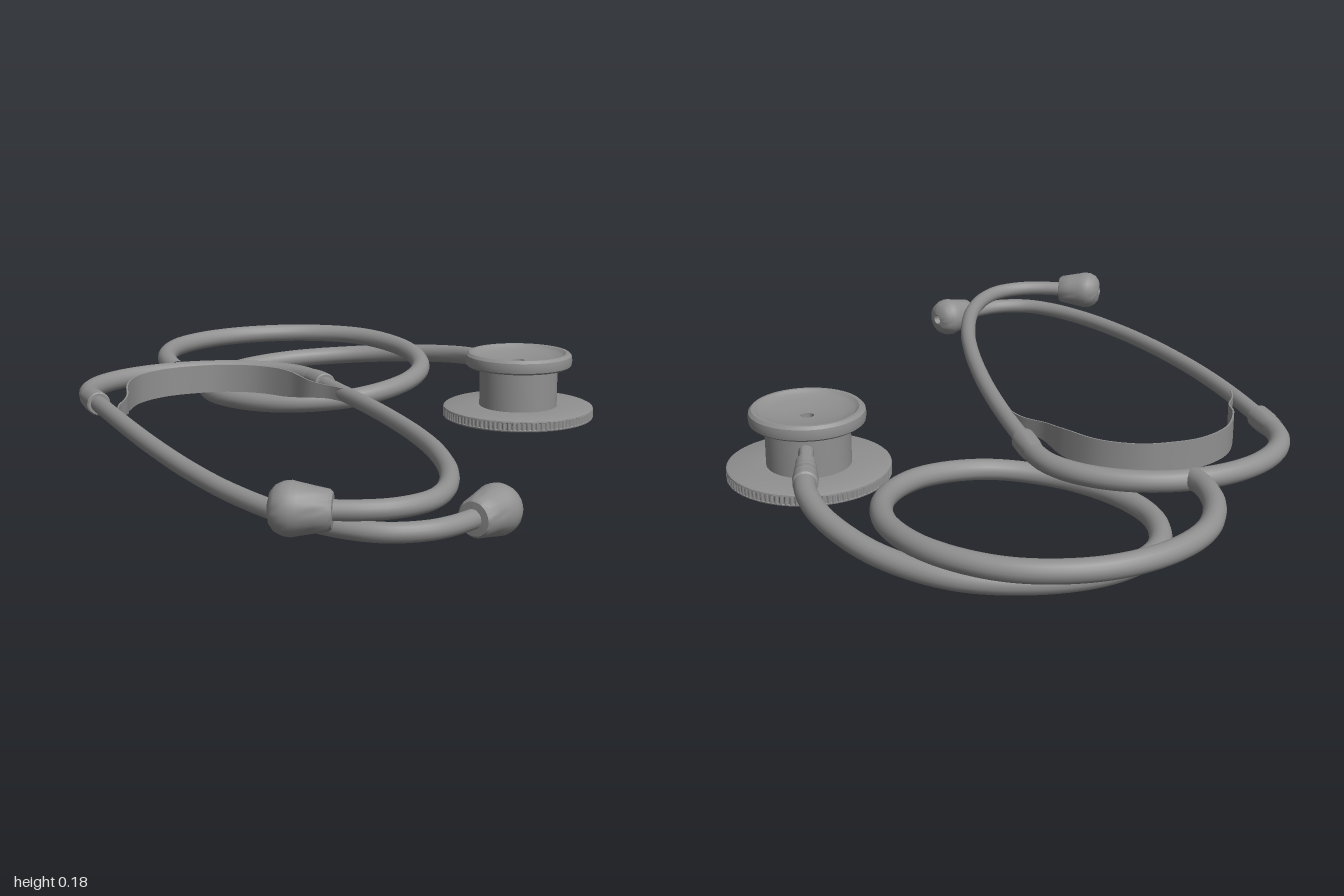
import * as THREE from 'three';
import { toCreasedNormals } from 'three/addons/utils/BufferGeometryUtils.js';

const material = new THREE.MeshStandardMaterial({ color: 0x909090 });
const V = (p) => new THREE.Vector3(...p);
const CX = -0.34; // centre line of the headset

function mesh(name, geometry) {
  const m = new THREE.Mesh(geometry, material);
  m.name = name;
  return m;
}

function tube(name, points, radius, segments) {
  const curve = new THREE.CatmullRomCurve3(points.map(V), false, 'centripetal');
  return mesh(name, new THREE.TubeGeometry(curve, segments, radius, 16));
}

function lathe(name, profile, sides = 32) {
  const g = new THREE.LatheGeometry(profile.map(([r, y]) => new THREE.Vector2(r, y)), sides);
  return mesh(name, toCreasedNormals(g, 0.6));
}

// Place a lathe so that its +y axis runs from one point towards another
function aim(m, from, to) {
  m.position.copy(V(from));
  m.quaternion.setFromUnitVectors(new THREE.Vector3(0, 1, 0), V(to).sub(V(from)).normalize());
  return m;
}

function createChestpiece() {
  const g = new THREE.Group();
  g.name = 'chestpiece';

  // Diaphragm disc with a finely ribbed band around its edge
  const shape = new THREE.Shape();
  const teeth = 100;
  for (let i = 0; i < teeth * 4; i++) {
    const a = (i / (teeth * 4)) * Math.PI * 2;
    const r = i % 4 < 2 ? 0.203 : 0.2;
    if (i === 0) shape.moveTo(r, 0);
    else shape.lineTo(r * Math.cos(a), r * Math.sin(a));
  }
  const band = new THREE.ExtrudeGeometry(shape, { depth: 0.022, bevelEnabled: false });
  band.rotateX(-Math.PI / 2).translate(0, 0.005, 0);
  g.add(mesh('diaphragmBand', band));
  g.add(lathe('diaphragm', [
    [0, 0], [0.196, 0], [0.202, 0.003], [0.203, 0.006], [0.199, 0.008],
    [0.199, 0.024], [0.203, 0.026], [0.202, 0.03], [0.196, 0.033], [0.1, 0.033],
  ], 80));

  // Drum between the two heads
  g.add(lathe('drum', [[0.105, 0.03], [0.105, 0.145]], 48));

  // Bell with a rounded rim, shallow dish and central sound hole
  g.add(lathe('bell', [
    [0.1, 0.14], [0.136, 0.14], [0.142, 0.145], [0.144, 0.158], [0.142, 0.171], [0.135, 0.178],
    [0.127, 0.178], [0.122, 0.174], [0.115, 0.169], [0.09, 0.164],
    [0.06, 0.159], [0.02, 0.155], [0.016, 0.155], [0.016, 0.142], [0, 0.142],
  ], 64));
  g.position.set(0.47, 0, -0.075);
  return g;
}

function createEarTip(name, base, end) {
  return aim(lathe(name, [
    [0.018, 0], [0.036, 0.001], [0.041, 0.007], [0.046, 0.035], [0.052, 0.066], [0.055, 0.08],
    [0.053, 0.096], [0.045, 0.112], [0.032, 0.122], [0.014, 0.126], [0.012, 0.108], [0, 0.108],
  ], 28), base, end);
}

export function createModel() {
  const model = new THREE.Group();
  model.name = 'stethoscope';

  // Long hose: upper loop, then lower loop, then up to the chestpiece
  model.add(tube('hose', [
    [-0.34, 0.103, -0.565], [-0.34, 0.108, -0.64], [-0.315, 0.112, -0.75], [-0.245, 0.114, -0.865],
    [-0.125, 0.115, -0.945], [0.03, 0.115, -0.974], [0.2, 0.115, -0.93], [0.331, 0.113, -0.805],
    [0.387, 0.1, -0.62], [0.35, 0.082, -0.44], [0.235, 0.066, -0.313], [0.068, 0.048, -0.268],
    [-0.095, 0.034, -0.332], [-0.2, 0.028, -0.46], [-0.234, 0.027, -0.6], [-0.185, 0.03, -0.75],
    [-0.06, 0.038, -0.845], [0.105, 0.047, -0.874], [0.283, 0.056, -0.83], [0.42, 0.071, -0.715],
    [0.504, 0.088, -0.555], [0.527, 0.098, -0.43], [0.522, 0.1, -0.345],
  ], 0.026, 220));

  // Ribbed connector and metal stem into the drum
  model.add(aim(lathe('connector', [
    [0.026, 0], [0.03, 0.003], [0.03, 0.03], [0.028, 0.033], [0.029, 0.036], [0.028, 0.06],
    [0.026, 0.063], [0.027, 0.066], [0.026, 0.09], [0.024, 0.093], [0.025, 0.096], [0.024, 0.125],
    [0.019, 0.13], [0.019, 0.21],
  ], 24), [0.522, 0.1, -0.365], [0.488, 0.1, -0.16]));
  model.add(createChestpiece());

  // Arched yoke joining the two ear tubes
  const arch = [[-0.308, 0.1, -0.24], [-0.308, 0.1, -0.31]];
  for (let i = 1; i < 10; i++) {
    const a = Math.PI * (1 - i / 10);
    arch.push([0.308 * Math.cos(a), 0.1, -0.31 - 0.255 * Math.sin(a)]);
  }
  arch.push([0.308, 0.1, -0.31], [0.308, 0.1, -0.24]);
  model.add(tube('yoke', arch.map(([x, y, z]) => [CX + x, y, z]), 0.026, 80));

  // Mirrored ear tubes cross at the front, one above the other
  for (const [side, label, low] of [[-1, 'right', 0.06], [1, 'left', 0.113]]) {
    const path = [
      [0.308, -0.28], [0.308, -0.1], [0.304, 0.06], [0.294, 0.22], [0.271, 0.42], [0.236, 0.6],
      [0.177, 0.78], [0.108, 0.9], [0.045, 0.957], [-0.03, 0.976], [-0.09, 0.967], [-0.17, 0.932],
    ].map(([x, z]) => {
      const t = THREE.MathUtils.smoothstep(z, -0.2, 0.95);
      return [CX + side * x, 0.1 + (low - 0.1) * t, z];
    });
    model.add(tube(label + 'EarTube', path, 0.021, 100));
    model.add(createEarTip(label + 'EarTip',
      [CX - side * 0.15, low, 0.943], [CX - side * 0.26, low + 0.003, 0.885]));
    model.add(aim(lathe(label + 'YokeSleeve', [[0.0262, 0], [0.03, 0.05], [0.03, 0.093], [0.027, 0.096], [0.02, 0.096]], 24),
      [CX + side * 0.308, 0.1, -0.325], [CX + side * 0.308, 0.1, 0]));
  }

  // Leaf spring: a thin strip bent along a curve, narrowing to its ends
  const half = [[0.298, -0.08], [0.282, -0.125], [0.245, -0.19], [0.222, -0.27], [0.165, -0.365], [0.08, -0.418]];
  const springCurve = new THREE.CatmullRomCurve3([
    ...half.map(([x, z]) => new THREE.Vector3(CX - x, 0, z)),
    new THREE.Vector3(CX, 0, -0.428),
    ...half.slice().reverse().map(([x, z]) => new THREE.Vector3(CX + x, 0, z)),
  ]);
  const strip = new THREE.BoxGeometry(1, 1, 0.004, 72, 1, 1);
  const pos = strip.attributes.position;
  for (let i = 0; i < pos.count; i++) {
    const u = THREE.MathUtils.clamp(pos.getX(i) + 0.5, 0, 1);
    const p = springCurve.getPointAt(u);
    const t = springCurve.getTangentAt(u);
    const offset = pos.getZ(i);
    const height = 0.035 + 0.04 * THREE.MathUtils.smoothstep(Math.min(u, 1 - u), 0.05, 0.25);
    pos.setXYZ(i, p.x - t.z * offset, 0.101 + pos.getY(i) * height, p.z + t.x * offset);
  }
  strip.computeVertexNormals();
  model.add(mesh('leafSpring', strip));

  return model;
}
